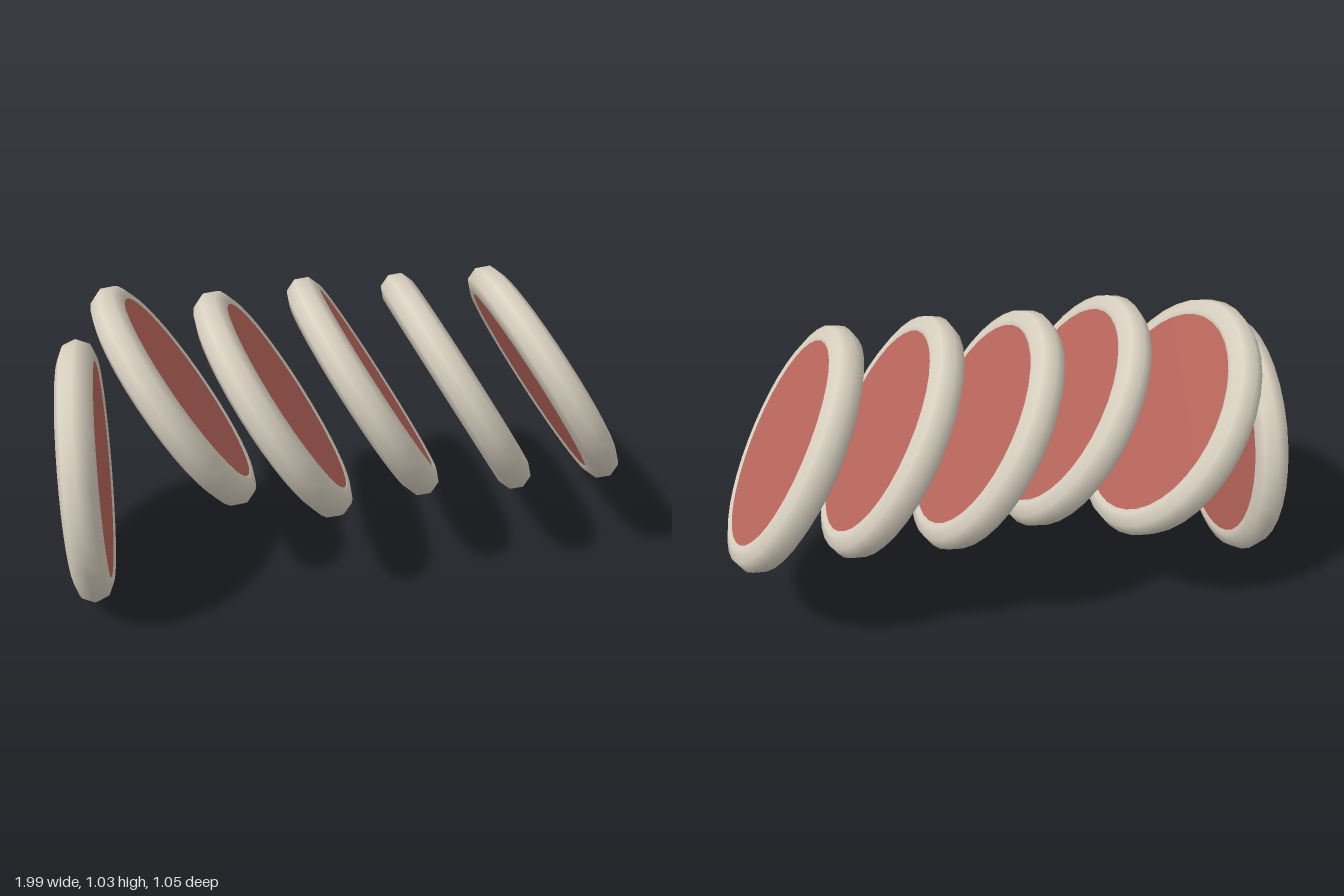
import * as THREE from 'three';

const RING = 0.391, TUBE = 0.061, FACE = 0.375, HALF = 0.054;

export function createModel() {
  const group = new THREE.Group();
  group.name = 'slicedSausage';
  const rindMat = new THREE.MeshStandardMaterial({ color: 0xd8d0c0 });
  rindMat.name = 'cream rind';
  const meatMat = new THREE.MeshStandardMaterial({ color: 0xb8665b });
  meatMat.name = 'red meat';

  // rounded rind, axis along y
  const rindGeo = new THREE.TorusGeometry(RING, TUBE, 8, 36).rotateX(Math.PI / 2);
  // meat disc, its edges tucked inside the rind
  const profile = [[0, -HALF], [FACE, -HALF], [RING, -HALF + 0.007],
    [RING, HALF - 0.007], [FACE, HALF], [0, HALF]];
  const meatGeo = new THREE.LatheGeometry(profile.map(([r, y]) => new THREE.Vector2(r, y)), 36);

  const addSlice = (name, x, y, z, lean, yaw) => {
    const slice = new THREE.Group();
    slice.name = name;
    const rind = new THREE.Mesh(rindGeo, rindMat);
    rind.name = 'rind';
    const meat = new THREE.Mesh(meatGeo, meatMat);
    meat.name = 'meat';
    slice.add(rind, meat);
    slice.position.set(x, y, z);
    // lean is how far the cut face tips upward, yaw turns it about the vertical
    slice.rotation.set(0, THREE.MathUtils.degToRad(yaw), THREE.MathUtils.degToRad(lean - 90), 'YXZ');
    group.add(slice);
  };

  // upright end slice
  addSlice('endSlice', -0.925, 0.457, 0.065, 0, -2.2);
  // five leaning slices: x, z, yaw
  [[-0.597, -0.077, 2.2], [-0.265, 0.055, -1.8], [0.066, -0.018, -0.5],
    [0.4, 0.008, -0.4], [0.733, 0, 0]]
    .forEach(([x, z, yaw], i) => addSlice(`leaningSlice${i + 1}`, x, 0.64, z, 31, yaw));

  return group;
}
